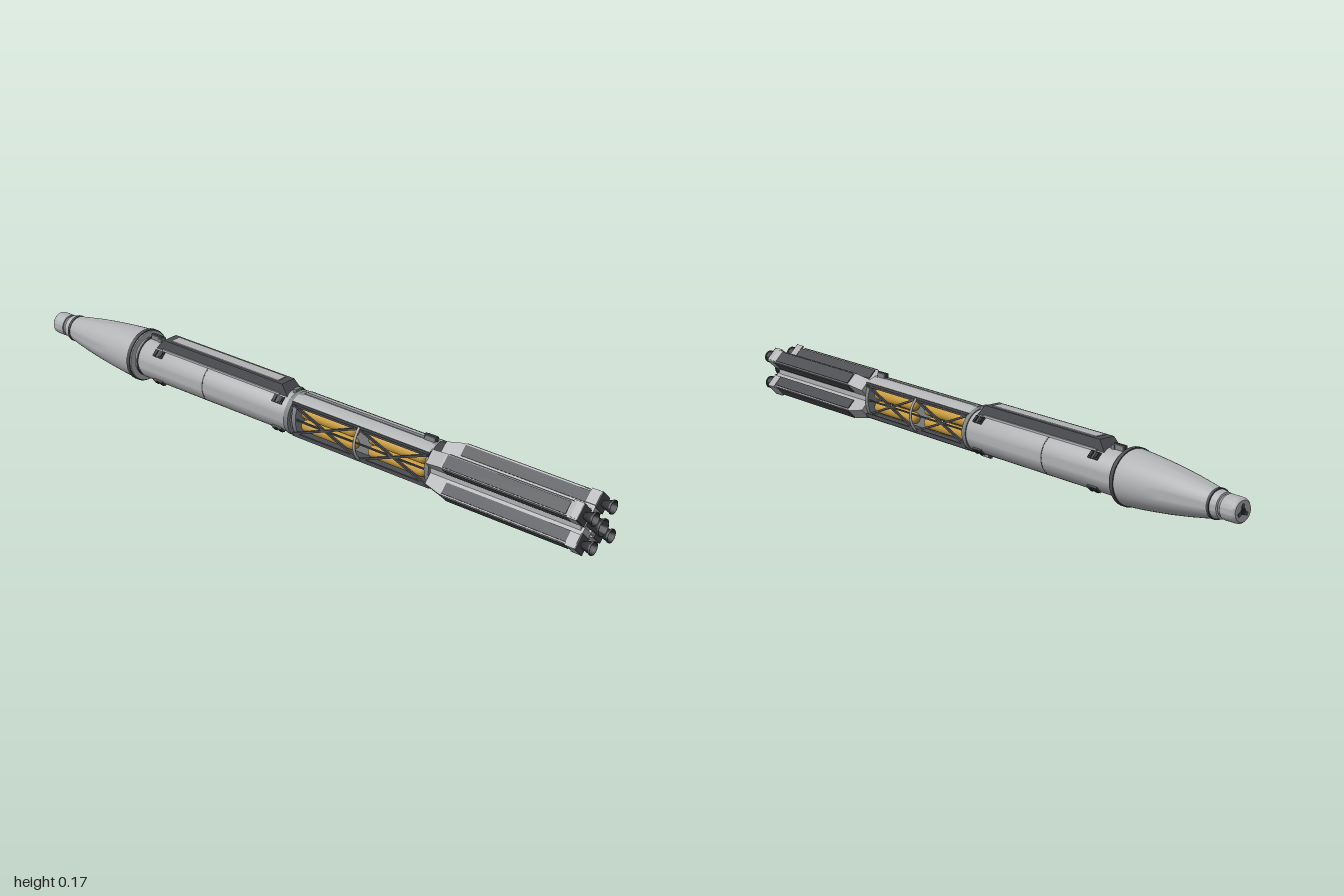
import * as THREE from 'three';
import { toCreasedNormals } from 'three/addons/utils/BufferGeometryUtils.js';

const mat = (name, color, side = THREE.FrontSide) => {
  const m = new THREE.MeshStandardMaterial({ color, side });
  m.name = name;
  return m;
};

export function createModel() {
  const light = mat('light hull', 0xb0b2b4, THREE.DoubleSide);
  const mid = mat('mid grey', 0x808386);
  const dark = mat('dark panel', 0x4a4c50);
  const black = mat('engine black', 0x2c2d30, THREE.DoubleSide);
  const gold = mat('gold tank', 0xc79a3c);
  const blue = mat('engine blue', 0x3fa0dc);

  const ship = new THREE.Group();
  ship.name = 'spaceship';
  ship.position.y = 0.08; // long axis lies on local y = 0

  const add = (parent, name, geo, material, x = 0, y = 0, z = 0) => {
    const m = new THREE.Mesh(geo, material);
    m.name = name;
    m.position.set(x, y, z);
    parent.add(m);
    return m;
  };
  const box = (parent, name, material, w, h, d, x, y, z) =>
    add(parent, name, new THREE.BoxGeometry(w, h, d), material, x, y, z);
  // Body of revolution along z from [radius, z] pairs, z ascending
  const turned = (parent, name, material, pts, x = 0, y = 0, seg = 40) => {
    const g = new THREE.LatheGeometry(pts.map(p => new THREE.Vector2(p[0], p[1])), seg);
    return add(parent, name, toCreasedNormals(g.rotateX(Math.PI / 2), 0.6), material, x, y);
  };
  const band = (name, material, r, z0, z1) =>
    turned(ship, name, material, [[r - 0.012, z0], [r, z0], [r, z1], [r - 0.012, z1]]);
  const strut = (parent, name, material, a, b, t) => {
    const p = new THREE.Vector3(...a), q = new THREE.Vector3(...b);
    const m = box(parent, name, material, t, t, p.distanceTo(q), 0, 0, 0);
    m.position.copy(p).add(q).multiplyScalar(0.5);
    m.quaternion.setFromUnitVectors(new THREE.Vector3(0, 0, 1), q.sub(p).normalize());
  };

  // Nose: docking tip, tapered shell and flange
  turned(ship, 'noseTip', light, [[0, -1], [0.028, -1], [0.033, -0.994], [0.034, -0.985], [0.034, -0.953], [0.029, -0.953]]);
  turned(ship, 'noseNeck', mid, [[0.03, -0.955], [0.03, -0.94]]);
  turned(ship, 'noseShell', light, [
    [0.025, -0.944], [0.035, -0.942], [0.038, -0.92], [0.044, -0.89], [0.053, -0.84], [0.062, -0.78],
    [0.069, -0.72], [0.074, -0.67], [0.077, -0.625], [0.077, -0.608], [0.055, -0.608]]);
  band('noseBand', dark, 0.041, -0.922, -0.914);
  band('noseFlange', dark, 0.08, -0.624, -0.612);
  add(ship, 'dockingPort', new THREE.CylinderGeometry(0.009, 0.009, 0.004, 20).rotateX(Math.PI / 2), black, 0, 0, -1);
  for (let i = 0; i < 3; i++) {
    const petal = new THREE.Group();
    petal.name = 'dockingPetal';
    petal.rotation.z = Math.PI / 2 + i * Math.PI * 2 / 3;
    box(petal, 'petalPlate', dark, 0.013, 0.011, 0.004, 0.013, 0, -0.999);
    ship.add(petal);
  }

  // Main hull cylinder
  turned(ship, 'hullNeck', light, [[0.059, -0.61], [0.059, -0.585]]);
  turned(ship, 'mainHull', light, [[0.05, -0.594], [0.06, -0.594], [0.063, -0.588], [0.063, -0.012], [0.058, -0.004], [0, -0.004]]);
  band('neckRing', dark, 0.0615, -0.602, -0.596);
  band('hullSeam', dark, 0.0634, -0.332, -0.328);
  band('hullAftRing', mid, 0.066, -0.014, 0.002);

  // Dorsal equipment spine with sloped sides and ends
  const spineGeo = new THREE.BoxGeometry(0.066, 0.036, 0.525);
  const pos = spineGeo.attributes.position;
  for (let i = 0; i < pos.count; i++) {
    if (pos.getY(i) > 0) {
      pos.setX(i, pos.getX(i) * 0.78);
      pos.setZ(i, pos.getZ(i) - Math.sign(pos.getZ(i)) * 0.03);
    }
  }
  spineGeo.computeVertexNormals();
  add(ship, 'spine', spineGeo, dark, 0, 0.066, -0.285);
  box(ship, 'spineTopStrip', light, 0.034, 0.004, 0.42, 0, 0.0845, -0.285);
  for (const s of [-1, 1]) {
    box(ship, 'spineSideRail', light, 0.004, 0.006, 0.46, s * 0.034, 0.056, -0.285);
    box(ship, 'spineEndBracket', mid, 0.022, 0.014, 0.012, 0, 0.066, -0.285 + s * 0.266);
  }

  // Thruster pods on the diagonals at both ends of the hull
  for (const z of [-0.52, -0.05]) {
    for (let i = 0; i < 4; i++) {
      const pod = new THREE.Group();
      pod.name = 'thrusterPod';
      pod.rotation.z = Math.PI / 4 + i * Math.PI / 2;
      box(pod, 'podBase', dark, 0.008, 0.022, 0.036, 0.063, 0, z);
      for (const s of [-1, 1])
        box(pod, 'podNozzle', black, 0.005, 0.016, 0.01, 0.0675, 0, z + s * 0.01);
      ship.add(pod);
    }
  }

  // Small sensors, above and below
  for (const [y, z] of [[0.069, -0.57], [0.073, 0.455], [-0.066, -0.57], [-0.066, -0.03]]) {
    box(ship, 'sensorMount', mid, 0.016, 0.014, 0.034, 0, y, z);
    box(ship, 'sensorHead', dark, 0.007, 0.018, 0.042, 0, y, z);
  }

  // Truss section: curved shells, slabs, gold tanks and side bracing
  const half = 0.67;
  for (const s of [-1, 1]) {
    const shell = new THREE.CylinderGeometry(0.067, 0.067, 0.48, 12, 1, true, (s > 0 ? Math.PI : 0) - half, 2 * half);
    add(ship, 'trussShell', shell.rotateX(Math.PI / 2), light, 0, 0, 0.24);
    box(ship, 'trussSlab', dark, 0.085, 0.007, 0.48, 0, s * 0.05, 0.24);
    box(ship, 'shellRidge', mid, 0.012, 0.004, 0.46, 0, s * 0.0665, 0.24);
    for (const y of [-0.044, 0, 0.044])
      box(ship, 'longeron', dark, 0.005, y ? 0.006 : 0.004, 0.48, s * 0.042, y, 0.24);
    for (let i = 0; i < 2; i++) {
      const z0 = 0.005 + i * 0.24, z1 = z0 + 0.23;
      strut(ship, 'crossBrace', dark, [s * 0.043, -0.045, z0], [s * 0.043, 0.045, z1], 0.006);
      strut(ship, 'crossBrace', dark, [s * 0.043, 0.045, z0], [s * 0.043, -0.045, z1], 0.006);
      for (const y of [-0.02, 0.02])
        add(ship, 'goldTank', new THREE.CapsuleGeometry(0.018, 0.165, 6, 16).rotateX(Math.PI / 2), gold, s * 0.02, y, z0 + 0.115);
    }
  }
  box(ship, 'trussKeel', mid, 0.016, 0.1, 0.48, 0, 0, 0.24);
  add(ship, 'trussRing', new THREE.TorusGeometry(0.063, 0.004, 8, 40), light, 0, 0, 0.24);
  for (const z of [0.008, 0.475]) {
    const bulkhead = new THREE.CylinderGeometry(0.069, 0.069, 0.014, 32).rotateX(Math.PI / 2);
    add(ship, 'trussBulkhead', bulkhead, mid, 0, 0, z).scale.x = 0.68;
  }

  // Engine bell opening toward +z, with a glowing core
  const engine = (parent, r, x, z0, z1) => {
    const d = z1 - z0;
    turned(parent, 'engineBell', black, [[r * 0.45, z0], [r * 0.68, z0 + d * 0.3], [r * 0.87, z0 + d * 0.6], [r, z1]], x, 0, 24);
    turned(parent, 'engineRim', dark, [[r, z1 - 0.005], [r + 0.0015, z1 - 0.005], [r + 0.0015, z1], [r, z1]], x, 0, 24);
    add(parent, 'engineGlow', new THREE.CircleGeometry(r * 0.36, 20), blue, x, 0, z0 + d * 0.35);
  };

  // Central engine core
  const core = new THREE.CylinderGeometry(0.04, 0.04, 0.475, 8).rotateY(Math.PI / 8).rotateX(Math.PI / 2);
  add(ship, 'engineCore', core.toNonIndexed(), light, 0, 0, 0.7185).geometry.computeVertexNormals();
  engine(ship, 0.023, 0, 0.95, 1);

  // Four diagonal boosters; local x points outward
  const profile = new THREE.Shape([
    [0.02, 0.482], [0.064, 0.482], [0.077, 0.535], [0.077, 0.925], [0.083, 0.945], [0.083, 0.964], [0.02, 0.964],
  ].map(p => new THREE.Vector2(p[0], p[1])));
  for (let i = 0; i < 4; i++) {
    const booster = new THREE.Group();
    booster.name = 'booster';
    booster.rotation.z = Math.PI / 4 + i * Math.PI / 2;
    const g = new THREE.ExtrudeGeometry(profile, { depth: 0.042, bevelEnabled: false });
    add(booster, 'boosterBody', g.translate(0, 0, -0.021).rotateX(Math.PI / 2), light);
    box(booster, 'outerPanel', dark, 0.006, 0.036, 0.385, 0.077, 0, 0.735);
    for (const s of [-1, 1]) {
      box(booster, 'sidePanel', dark, 0.032, 0.006, 0.395, 0.057, s * 0.021, 0.74);
      box(booster, 'tailFlange', light, 0.04, 0.005, 0.03, 0.062, s * 0.0225, 0.949);
    }
    box(booster, 'tailPlate', dark, 0.046, 0.048, 0.004, 0.06, 0, 0.9655);
    engine(booster, 0.018, 0.059, 0.966, 1);
    ship.add(booster);
  }

  const root = new THREE.Group();
  root.name = 'model';
  root.add(ship);
  return root;
}
